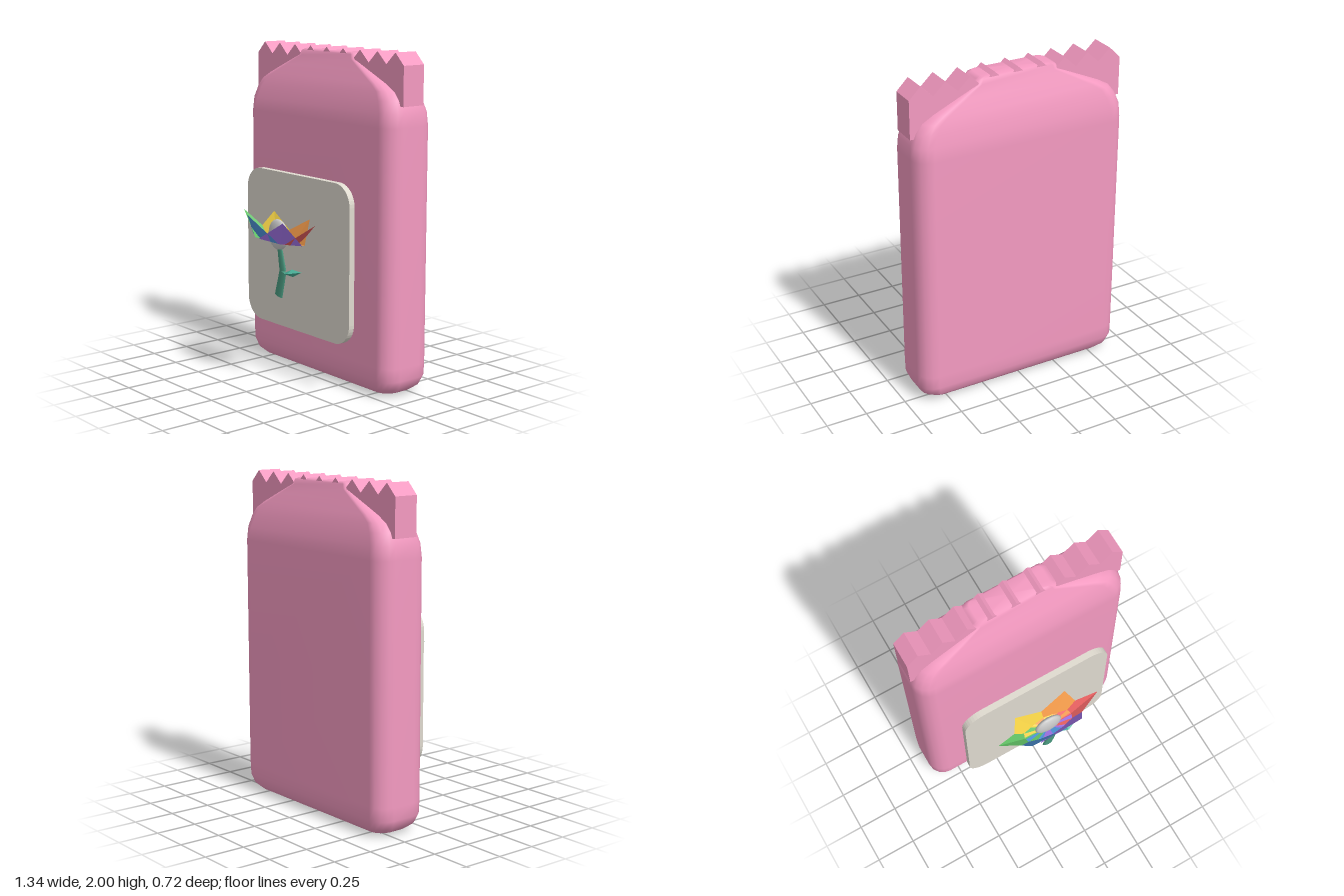
import * as THREE from 'three';

const mat = (color, extra = {}) => {
  const m = new THREE.MeshStandardMaterial({ color, ...extra });
  return m;
};

function add(parent, name, geometry, material) {
  const mesh = new THREE.Mesh(geometry, material);
  mesh.name = name;
  parent.add(mesh);
  return mesh;
}

// Rounded-rectangle outline in x and z, with n segments per corner
function ring(w, d, r, n = 4) {
  const pts = [];
  const corners = [[1, 1], [-1, 1], [-1, -1], [1, -1]];
  corners.forEach(([sx, sz], k) => {
    for (let i = 0; i <= n; i++) {
      const t = (k + i / n) * Math.PI / 2;
      pts.push([sx * (w - r) + r * Math.cos(t), sz * (d - r) + r * Math.sin(t)]);
    }
  });
  return pts;
}

// Skin over stacked cross-sections [y, halfWidth, halfDepth, cornerRadius], closed at both ends
function loft(sections) {
  const pos = [], idx = [];
  let n = 0;
  for (const [y, w, d, r] of sections) {
    const pts = ring(w, d, r);
    n = pts.length;
    pts.forEach(([x, z]) => pos.push(x, y, z));
  }
  const last = sections.length - 1;
  for (let i = 0; i < last; i++) {
    for (let j = 0; j < n; j++) {
      const k = (j + 1) % n, a = i * n + j, b = i * n + k;
      idx.push(a, a + n, b, b, a + n, b + n);
    }
  }
  const bottom = pos.length / 3;
  pos.push(0, sections[0][0], 0, 0, sections[last][0], 0);
  for (let j = 0; j < n; j++) {
    const k = (j + 1) % n;
    idx.push(bottom, j, k, bottom + 1, last * n + k, last * n + j);
  }
  const g = new THREE.BufferGeometry();
  g.setAttribute('position', new THREE.Float32BufferAttribute(pos, 3));
  g.setIndex(idx);
  g.computeVertexNormals();
  return g;
}

// Pointed petal folded along its middle, pointing along +x
function petalGeometry() {
  const base = [0, 0.86, 0], tip = [0.34, 1.02, 0], mid = [0.16, 0.875, 0];
  const left = [0.14, 0.885, 0.19], right = [0.14, 0.885, -0.19];
  const g = new THREE.BufferGeometry();
  g.setAttribute('position', new THREE.Float32BufferAttribute(
    [base, left, mid, left, tip, mid, base, mid, right, mid, tip, right].flat(), 3));
  g.computeVertexNormals();
  return g;
}

export function createModel() {
  const model = new THREE.Group();
  model.name = 'flowerPacket';
  const pink = 0xf49ac1;

  // Pouch body, tapering to the seal
  const body = add(model, 'pouchBody', loft([
    [0, 0.55, 0.09, 0.06],
    [0.012, 0.6, 0.12, 0.08],
    [0.045, 0.643, 0.152, 0.09],
    [0.1, 0.668, 0.17, 0.1],
    [0.18, 0.67, 0.173, 0.1],
    [0.9, 0.67, 0.173, 0.1],
    [1.58, 0.67, 0.173, 0.1],
    [1.66, 0.665, 0.166, 0.1],
    [1.73, 0.64, 0.152, 0.1],
    [1.78, 0.6, 0.14, 0.09],
    [1.82, 0.53, 0.127, 0.08],
    [1.88, 0.4, 0.107, 0.06],
    [1.94, 0.27, 0.085, 0.04],
    [1.968, 0.25, 0.08, 0.03],
    [1.98, 0.225, 0.068, 0.03],
  ]), mat(pink));
  body.position.z = -0.188;

  // Zigzag seal strip
  const strip = new THREE.Shape();
  strip.moveTo(-0.67, 1.7);
  strip.lineTo(0.67, 1.7);
  strip.lineTo(0.67, 1.93);
  for (let i = 4; i >= -4; i--) {
    strip.lineTo(i * 0.15, 2);
    strip.lineTo(i === -4 ? -0.67 : (i - 0.5) * 0.15, 1.93);
  }
  const seal = add(model, 'zigzagSeal',
    new THREE.ExtrudeGeometry(strip, { depth: 0.154, bevelEnabled: false }),
    mat(pink, { flatShading: true }));
  seal.position.z = -0.265;

  // Label panel with rounded corners
  const w = 0.483, y0 = 0.305, y1 = 1.255, r = 0.13;
  const panel = new THREE.Shape();
  panel.absarc(w - r, y1 - r, r, 0, Math.PI / 2);
  panel.absarc(-w + r, y1 - r, r, Math.PI / 2, Math.PI);
  panel.absarc(-w + r, y0 + r, r, Math.PI, Math.PI * 1.5);
  panel.absarc(w - r, y0 + r, r, Math.PI * 1.5, Math.PI * 2);
  const label = add(model, 'labelPanel',
    new THREE.ExtrudeGeometry(panel, { depth: 0.038, bevelEnabled: false, curveSegments: 5 }),
    mat(0xdfdacf));
  label.position.z = 0.081;

  // Flower, flattened in depth
  const flower = new THREE.Group();
  flower.name = 'flower';
  flower.position.z = 0.255;
  flower.scale.z = 0.34;
  model.add(flower);

  // Petals, starting at the model's left and turning towards the front
  const petal = petalGeometry();
  [0xf06464, 0xa878f0, 0x529ae2, 0x62c266, 0xf2d046, 0xf29a4a].forEach((color, i) => {
    const p = add(flower, 'petal' + (i + 1), petal,
      mat(color, { flatShading: true, side: THREE.DoubleSide }));
    p.rotation.y = -i * Math.PI / 3;
  });

  // Flower centre
  const centre = add(flower, 'flowerCentre', new THREE.SphereGeometry(1, 16, 12), mat(0xcccccc));
  centre.scale.set(0.088, 0.092, 0.083);
  centre.position.y = 0.915;

  // Bent stem, thicker towards the foot
  const joints = [[0.01, 0.85, 0.022], [0.042, 0.7, 0.032], [0.0, 0.545, 0.036]];
  const stemMat = mat(0x4a9a80);
  for (let i = 0; i < 2; i++) {
    const [xa, ya, ra] = joints[i], [xb, yb, rb] = joints[i + 1];
    const stem = add(flower, 'stem' + (i + 1),
      new THREE.CylinderGeometry(ra, rb, Math.hypot(xa - xb, ya - yb), 8), stemMat);
    stem.position.set((xa + xb) / 2, (ya + yb) / 2, 0);
    stem.rotation.z = -Math.atan2(xa - xb, ya - yb);
  }

  // Leaf
  const leaf = add(flower, 'leaf', new THREE.OctahedronGeometry(1),
    mat(0x4cb49c, { flatShading: true }));
  leaf.scale.set(0.09, 0.022, 0.11);
  leaf.position.set(0.13, 0.705, 0);
  leaf.rotation.z = 0.22;

  return model;
}
